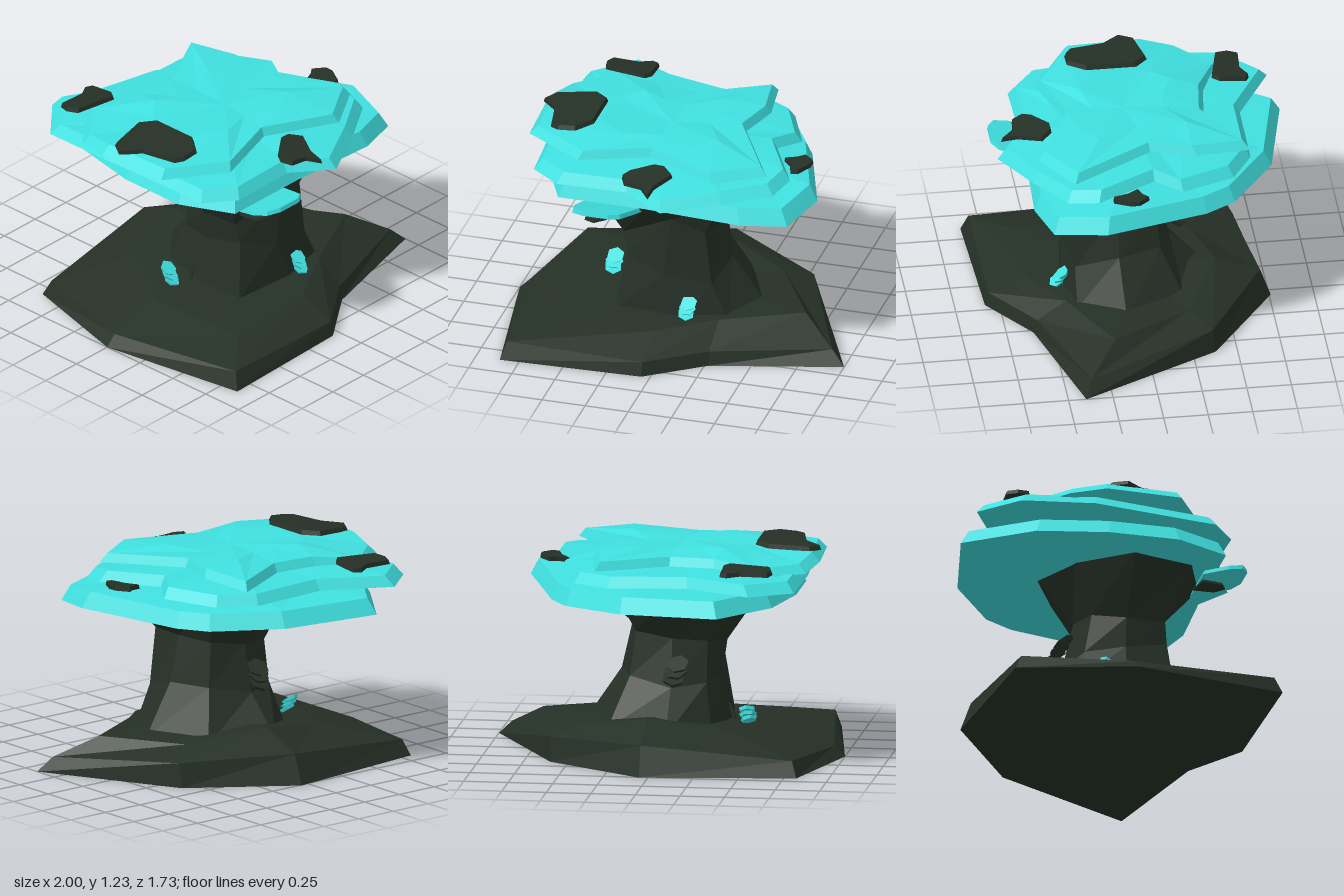
import * as THREE from 'three';

const leaf = new THREE.MeshStandardMaterial({ color: 0x40e0e0, flatShading: true });
leaf.name = 'turquoise';
const bark = new THREE.MeshStandardMaterial({ color: 0x253026, flatShading: true });
bark.name = 'darkBark';

// Closed faceted solid from cross-section rings (bottom to top, counterclockwise from above)
function loft(name, material, rings, bottom, top) {
  const pos = [];
  const tri = (a, b, c) => pos.push(...a, ...b, ...c);
  const n = rings[0].length;
  for (let i = 0; i < n; i++) {
    const j = (i + 1) % n;
    for (let r = 0; r + 1 < rings.length; r++) {
      const lo = rings[r], hi = rings[r + 1];
      tri(lo[i], lo[j], hi[j]);
      tri(lo[i], hi[j], hi[i]);
    }
    tri(bottom, rings[0][j], rings[0][i]);
    tri(top, rings.at(-1)[i], rings.at(-1)[j]);
  }
  const geometry = new THREE.BufferGeometry();
  geometry.setAttribute('position', new THREE.Float32BufferAttribute(pos, 3));
  geometry.computeVertexNormals();
  const mesh = new THREE.Mesh(geometry, material);
  mesh.name = name;
  return mesh;
}

// Pull a ring towards a centre and raise it
const inset = (ring, c, s, dy) =>
  ring.map(([x, y, z]) => [c[0] + (x - c[0]) * s, y + dy, c[1] + (z - c[1]) * s]);
const level = (pts, y) => pts.map(([x, z]) => [x, y, z]);

// One shelf of foliage: steep rim, shallow shoulder, centre point
function shelf(name, ring, c, height, topY, bottomY) {
  const upper = inset(ring, c, 0.94, height);
  const inner = inset(ring, c, 0.5, 0).map(([x, , z], i) => [x, topY + (i % 3 - 1) * 0.008, z]);
  return loft(name, leaf, [ring, upper, inner], [c[0], bottomY, c[1]], [c[0], topY - 0.005, c[1]]);
}

// Thin plate with an irregular outline, tilted by slopes along x and z
function plate(name, material, pts, y, sx = 0, sz = 0, t = 0.025) {
  const cx = pts.reduce((s, p) => s + p[0], 0) / pts.length;
  const cz = pts.reduce((s, p) => s + p[1], 0) / pts.length;
  const ring = pts.map(([x, z]) => [x, y + (x - cx) * sx + (z - cz) * sz, z]);
  return loft(name, material, [ring, inset(ring, [cx, cz], 0.95, t)], [cx, y, cz], [cx, y + t, cz]);
}

// Small fungus of tilted stacked slabs
function fungus(name, material, x, y, z, turn, size) {
  const group = new THREE.Group();
  group.name = name;
  for (let i = 0; i < 3; i++) {
    const slab = new THREE.Mesh(new THREE.CylinderGeometry(0.05, 0.042, 0.018, 6), material);
    slab.position.set((i - 1) * 0.008, i * 0.028, (1 - i) * 0.014);
    slab.rotation.set(0.55, i * 0.4, 0.1 * (i - 1));
    group.add(slab);
  }
  group.position.set(x, y, z);
  group.rotation.y = turn;
  group.scale.setScalar(size);
  return group;
}

export function createModel() {
  const model = new THREE.Group();
  model.name = 'shelfTree';

  // Ground mound
  model.add(loft('groundMound', bark, [
    level([[-0.86, 0.86], [-0.05, 0.83], [0.27, 0.6], [1, 0.4], [0.6, -0.38], [0.05, -0.76], [-0.82, -0.66], [-1, 0]], 0),
    [[-0.83, 0.1, 0.82], [-0.05, 0.08, 0.81], [0.27, 0.08, 0.58], [0.92, 0.08, 0.36],
      [0.6, 0.14, -0.36], [0.05, 0.17, -0.7], [-0.79, 0.09, -0.62], [-0.94, 0.06, 0]],
    [[-0.6, 0.15, 0.62], [-0.05, 0.17, 0.6], [0.28, 0.2, 0.42], [0.72, 0.2, 0.2],
      [0.46, 0.2, -0.25], [0.05, 0.27, -0.45], [-0.4, 0.2, -0.35], [-0.62, 0.15, 0]],
  ], [0, 0, 0], [0, 0.22, 0.05]));

  // Trunk flaring at the root and under the canopy
  model.add(loft('trunk', bark, [
    level([[-0.33, 0.38], [0.05, 0.42], [0.32, 0.36], [0.46, 0.1], [0.3, -0.25], [-0.05, -0.42], [-0.28, -0.22], [-0.35, 0.1]], 0.17),
    [[-0.28, 0.5, 0.34], [-0.05, 0.42, 0.4], [0.22, 0.38, 0.36], [0.27, 0.45, 0.12],
      [0.19, 0.45, -0.12], [-0.05, 0.4, -0.2], [-0.24, 0.42, -0.12], [-0.3, 0.45, 0.1]],
    [[-0.3, 0.62, 0.32], [0, 0.78, 0.4], [0.18, 0.7, 0.36], [0.21, 0.71, 0.12],
      [0.16, 0.7, -0.1], [-0.05, 0.67, -0.14], [-0.24, 0.65, -0.08], [-0.32, 0.62, 0.1]],
    level([[-0.45, 0.45], [-0.1, 0.57], [0.3, 0.43], [0.52, 0.15], [0.27, -0.2], [-0.05, -0.36], [-0.33, -0.2], [-0.54, 0.1]], 0.94),
  ], [0, 0.17, 0], [0, 0.95, 0.1]));

  // Three foliage shelves
  model.add(shelf('lowerShelf', [
    [-0.74, 0.93, 0.3], [-0.6, 0.93, 0.6], [-0.1, 0.93, 0.6], [0.46, 0.92, 0.62], [0.71, 0.91, 0.54],
    [0.8, 0.94, 0.25], [0.6, 0.91, -0.33], [0.5, 0.91, -0.5], [0.16, 0.92, -0.75], [-0.4, 0.93, -0.87],
    [-0.66, 0.93, -0.5], [-0.74, 0.93, -0.1],
  ], [0, 0], 0.09, 1.04, 0.91));
  model.add(shelf('middleShelf', [
    [-0.78, 1.04, 0.3], [-0.77, 1.03, 0.5], [-0.6, 1.03, 0.63], [-0.2, 1.03, 0.62], [0.04, 1.01, 0.77],
    [0.35, 1.03, 0.61], [0.6, 1.04, 0.45], [0.65, 1.06, 0.28], [0.48, 1.07, -0.05], [0.58, 1.05, -0.2],
    [0.45, 1.04, -0.5], [0.25, 1.04, -0.62], [-0.2, 1.05, -0.62], [-0.57, 1.05, -0.82],
    [-0.8, 1.04, -0.62], [-0.82, 1.06, -0.2],
  ], [-0.08, 0], 0.06, 1.13, 1.03));
  model.add(shelf('upperShelf', [
    [-0.88, 1.13, -0.15], [-0.86, 1.13, 0.28], [-0.52, 1.12, 0.49], [-0.13, 1.14, 0.38], [0.28, 1.13, 0.57],
    [0.55, 1.13, 0.4], [0.3, 1.15, -0.05], [0.37, 1.15, -0.3], [0.32, 1.13, -0.61], [-0.07, 1.13, -0.4],
    [-0.33, 1.13, -0.43], [-0.6, 1.1, -0.55], [-0.83, 1.1, -0.35],
  ], [-0.1, 0.05], 0.05, 1.205, 1.12));

  // Loose leaf plate under the front rim
  model.add(plate('frontLeafPlate', leaf,
    [[-0.5, 0.64], [-0.48, 0.73], [-0.41, 0.77], [-0.26, 0.77], [-0.2, 0.73], [-0.14, 0.5], [-0.48, 0.5]], 0.9, 0, 0.26));

  // Bark plates resting on the shelves
  model.add(plate('leftBarkPlate', bark,
    [[-0.87, -0.03], [-0.78, 0.07], [-0.74, 0.27], [-0.69, 0.3], [-0.59, 0.3], [-0.51, 0.2], [-0.51, -0.08], [-0.59, -0.15], [-0.82, -0.11]],
    1.19, 0.08));
  model.add(plate('backBarkPlate', bark,
    [[-0.68, -0.61], [-0.66, -0.54], [-0.42, -0.49], [-0.39, -0.53], [-0.39, -0.68], [-0.43, -0.7], [-0.5, -0.66], [-0.66, -0.67]],
    1.14, 0, 0.1));
  model.add(plate('frontBarkPlate', bark,
    [[-0.23, 0.6], [-0.2, 0.66], [-0.1, 0.67], [-0.04, 0.74], [-0.03, 0.65], [0.04, 0.52], [-0.02, 0.46], [-0.08, 0.46], [-0.2, 0.55]],
    1.1, -0.05, -0.18));
  model.add(plate('rightBarkPlate', bark,
    [[0.55, 0.05], [0.6, 0.11], [0.63, 0.2], [0.67, 0.2], [0.72, 0.11], [0.72, 0.06], [0.66, 0], [0.62, 0.03]],
    1.06, 0.1));
  model.add(plate('hangingBarkPlate', bark,
    [[-0.46, 0.5], [-0.44, 0.62], [-0.38, 0.65], [-0.32, 0.6], [-0.32, 0.48]], 0.825, 0.05, 0, 0.015));

  // Fungi on the ground and at the back of the trunk
  model.add(fungus('leftFungus', leaf, -0.46, 0.2, -0.03, 0.3, 1));
  model.add(fungus('frontFungus', leaf, 0.1, 0.22, 0.43, 0.2, 0.95));
  model.add(fungus('backFungus', bark, -0.08, 0.46, -0.22, Math.PI, 1.3));

  // Twig beside the root
  const twig = new THREE.Mesh(new THREE.CylinderGeometry(0.006, 0.012, 0.1, 5), bark);
  twig.name = 'twig';
  twig.position.set(-0.36, 0.23, 0.05);
  twig.rotation.z = -0.3;
  model.add(twig);

  return model;
}
